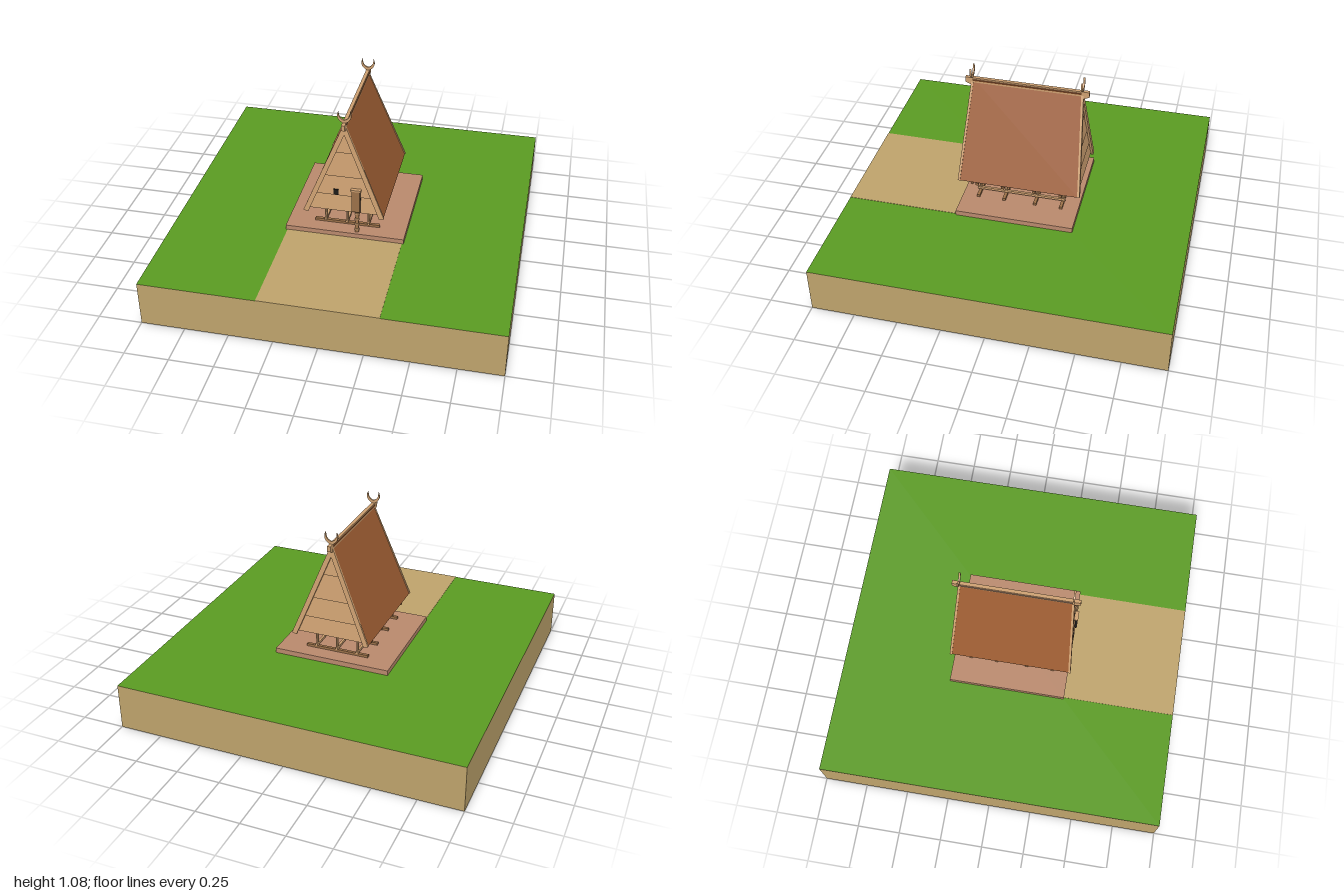
import * as THREE from 'three';
import { ConvexGeometry } from 'three/addons/geometries/ConvexGeometry.js';

const mat = (color) => new THREE.MeshStandardMaterial({ color, flatShading: true });
const grass = mat(0x5a9a22), earth = mat(0xbda26b), clay = mat(0xb8886c), wood = mat(0xcc9f70),
  darkWood = mat(0x9a7048), thatch = mat(0x9c5c32), black = mat(0x1c1a18);

export function createModel() {
  const model = new THREE.Group();

  const add = (name, geometry, material) => {
    const mesh = new THREE.Mesh(geometry, material);
    mesh.name = name;
    model.add(mesh);
    return mesh;
  };
  // box given by its size and centre
  const box = (name, [w, h, d], [x, y, z], material) => {
    const mesh = add(name, new THREE.BoxGeometry(w, h, d), material);
    mesh.position.set(x, y, z);
    return mesh;
  };
  // flat outline thickened along an offset
  const slab = (name, outline, offset, material) => {
    const o = new THREE.Vector3(...offset);
    const pts = outline.map((p) => new THREE.Vector3(...p));
    return add(name, new ConvexGeometry([...pts, ...pts.map((p) => p.clone().add(o))]), material);
  };

  // ground block, path and terrace
  box('ground', [2, 0.27, 2], [0, 0.135, 0], [earth, earth, grass, grass, earth, earth]);
  box('path', [0.67, 0.002, 0.655], [0, 0.271, 0.6725], earth);
  box('terrace', [0.69, 0.03, 0.69], [0, 0.285, 0], clay);

  // stilts with ground sills and floor beams
  const rows = [0.25, 0.095, -0.09, -0.245], columns = [-0.125, 0, 0.125];
  for (const z of rows) {
    box('groundSill', [0.38, 0.015, 0.018], [0, 0.308, z], darkWood);
    box('floorBeam', [0.43, 0.016, 0.018], [0, 0.413, z], darkWood);
    for (const x of columns) {
      const post = add('post', new THREE.CylinderGeometry(0.008, 0.008, 0.15, 8), wood);
      post.position.set(x, 0.375, z);
    }
  }
  for (const x of columns) {
    box('lowerRail', [0.014, 0.014, 0.53], [x, 0.323, 0.005], wood);
    box('floorJoist', [0.016, 0.026, 0.6], [x, 0.435, 0], wood);
  }
  box('floor', [0.39, 0.012, 0.66], [0, 0.453, 0], wood);

  // steep roof, longer at the eaves than at the ridge
  for (const s of [-1, 1]) {
    slab('roofPanel', [
      [0, 1.005, 0.313], [0, 1.005, -0.313], [s * 0.228, 0.435, -0.35], [s * 0.228, 0.435, 0.35],
    ], [-s * 0.014, -0.006, 0], thatch);
  }
  const ridge = [];
  for (const z of [-1, 1]) ridge.push([-0.01, 1.01, z * 0.357], [-0.01, 0.978, z * 0.357], [-0.01, 0.96, z * 0.315]);
  slab('ridgeBeam', ridge, [0.02, 0, 0], wood);

  // crescent finial
  const horn = new THREE.Shape();
  horn.moveTo(-0.032, 1.08);
  horn.quadraticCurveTo(-0.056, 1.03, 0, 1.005);
  horn.quadraticCurveTo(0.056, 1.03, 0.032, 1.08);
  horn.quadraticCurveTo(0.035, 1.035, 0, 1.026);
  horn.quadraticCurveTo(-0.035, 1.035, -0.032, 1.08);
  const hornGeometry = new THREE.ExtrudeGeometry(horn, { depth: 0.01, bevelEnabled: false, curveSegments: 8 });

  // both gable ends
  const levels = [0.45, 0.55, 0.67, 0.82, 0.985];
  const halfWidth = (y) => (1.0 - y) * 0.365;
  const wallZ = (y) => 0.306 + (1 - y) * 0.06;
  for (const e of [-1, 1]) {
    // lapped planks leaning outwards at the foot
    for (let i = 0; i < levels.length - 1; i++) {
      const [a, b] = [levels[i], levels[i + 1]];
      const [za, zb] = [e * (wallZ(a) + 0.008), e * wallZ(b)];
      slab('gablePlank', [
        [-halfWidth(a), a, za], [halfWidth(a), a, za], [halfWidth(b), b, zb], [-halfWidth(b), b, zb],
      ], [0, 0, -e * 0.01], wood);
    }
    // bargeboards
    for (const s of [-1, 1]) {
      slab('bargeboard', [
        [0, 1.008, e * 0.322], [s * 0.232, 0.437, e * 0.36], [s * 0.205, 0.428, e * 0.36], [0, 0.935, e * 0.326],
      ], [0, 0, -e * 0.013], wood);
    }
    add('ridgeFinial', hornGeometry, wood).position.z = e * 0.318 - 0.005;
  }

  // door, window and notched ladder at the front
  box('doorway', [0.05, 0.14, 0.02], [0.07, 0.527, 0.342], black);
  box('door', [0.046, 0.135, 0.004], [0.07, 0.525, 0.353], darkWood);
  box('doorLintel', [0.058, 0.01, 0.026], [0.07, 0.598, 0.343], wood);
  box('window', [0.028, 0.034, 0.012], [-0.045, 0.57, 0.338], black);
  const ladder = box('ladder', [0.02, 0.16, 0.012], [0.07, 0.375, 0.313], darkWood);
  ladder.rotation.x = -0.1;
  for (let i = 0; i < 4; i++) {
    box('ladderStep', [0.026, 0.008, 0.016], [0.07, 0.32 + i * 0.033, 0.322 - i * 0.0033], wood);
  }

  return model;
}
